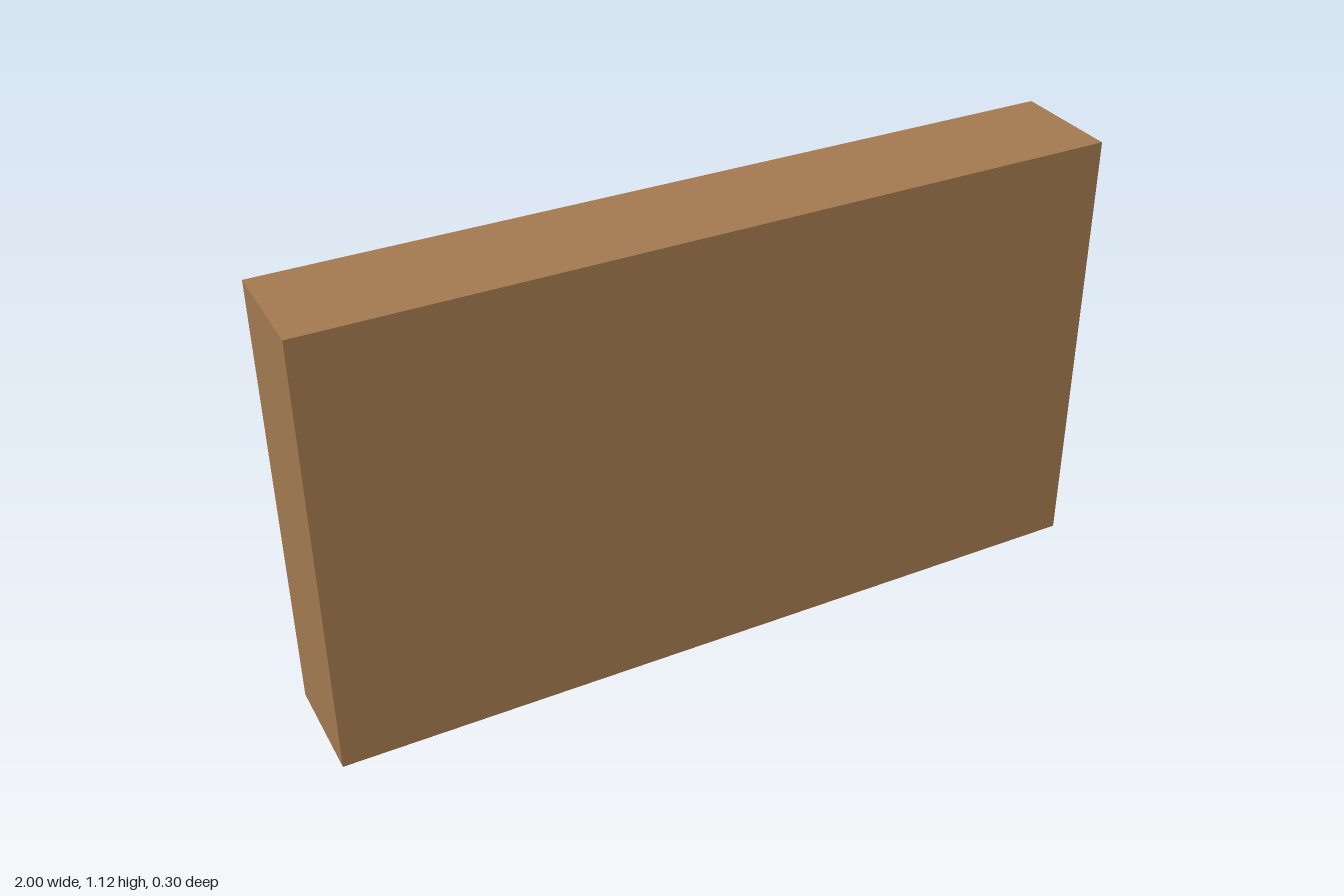
import * as THREE from 'three';
import { RoundedBoxGeometry } from 'three/addons/geometries/RoundedBoxGeometry.js';

export function createModel() {
  const model = new THREE.Group();
  const wood = new THREE.MeshStandardMaterial({ color: 0xa67c52 });
  const panel = new THREE.MeshStandardMaterial({ color: 0xb99c7b });

  const height = 1.125, doorDepth = 0.016, backZ = -0.132, frontZ = 0.148;

  // Solid cabinet carcass
  const carcass = new THREE.Mesh(new THREE.BoxGeometry(2, height, frontZ - backZ), wood);
  carcass.name = 'carcass';
  carcass.position.set(0, height / 2, (frontZ + backZ) / 2);
  model.add(carcass);

  // Row of five overlay doors with softened edges
  const doors = new THREE.Group();
  doors.name = 'doors';
  const count = 5, pitch = 2 / count;
  const doorGeometry = new RoundedBoxGeometry(pitch - 0.012, 1.074, doorDepth, 2, 0.003);
  for (let i = 0; i < count; i++) {
    const door = new THREE.Mesh(doorGeometry, panel);
    door.name = `door${i + 1}`;
    door.position.set((i - (count - 1) / 2) * pitch, height / 2, backZ - doorDepth / 2);
    doors.add(door);
  }
  model.add(doors);

  return model;
}
